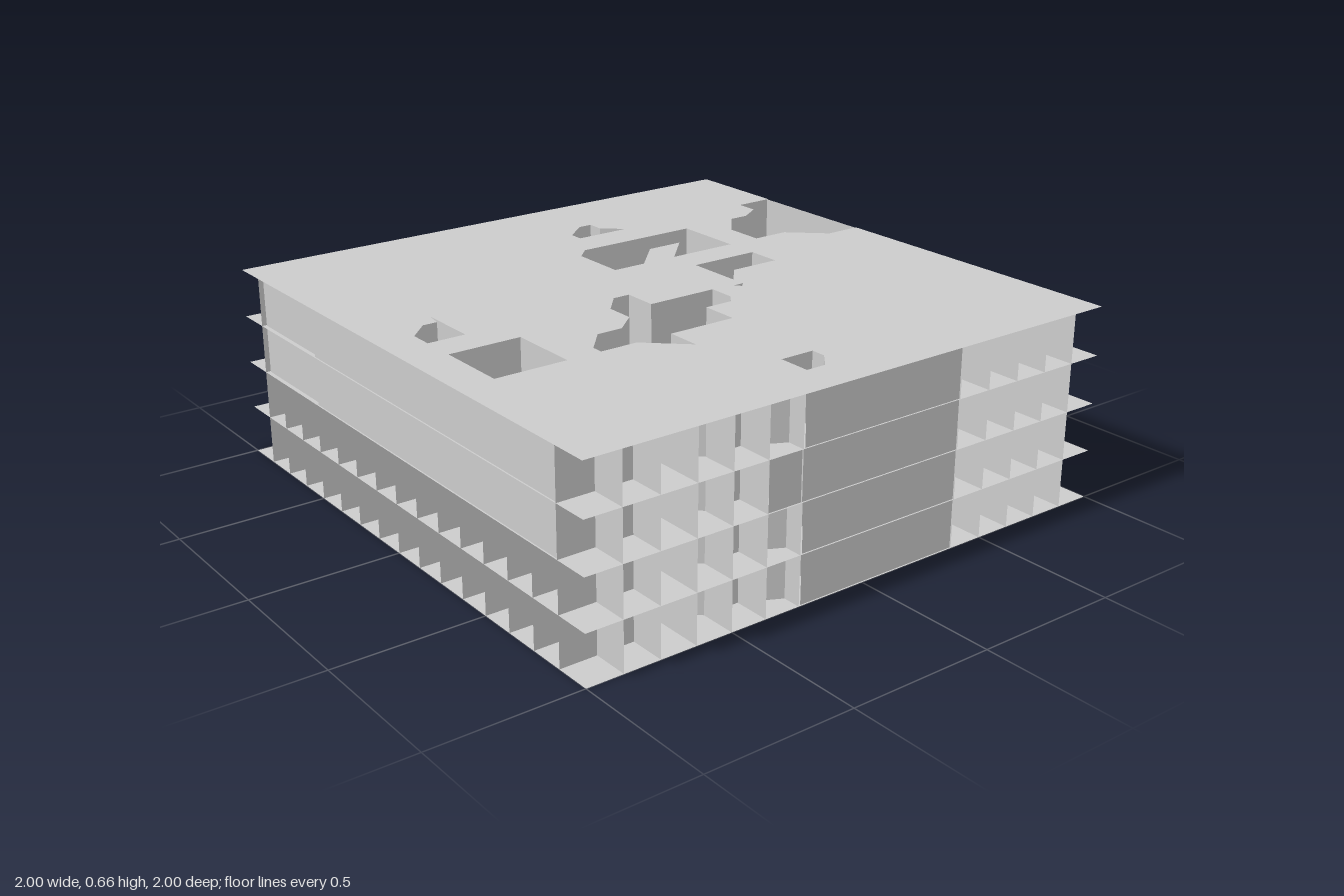
import * as THREE from 'three';
import { mergeGeometries } from 'three/addons/utils/BufferGeometryUtils.js';

const H = 0.165, TOP = 4 * H, CELL = 0.125;
const material = new THREE.MeshStandardMaterial({ color: 0xcccccc, side: THREE.DoubleSide, flatShading: true });

// Openings in the floor plates, as [x, z] outlines
const openings = [
  [[.12, -.62], [.12, -.67], [.2, -.74], [.25, -.74], [.25, -.68], [.32, -.62]],
  [[0, -.24], [0, -.44], [.05, -.49], [.5, -.49], [.5, -.24], [.25, -.24], [.37, -.365], [.24, -.365], [.12, -.24]],
  [[.25, -.12], [.5, -.12], [.5, 0], [.32, 0], [.25, .08]],
  [[-.74, -.2], [-.74, .01], [-.87, .01], [-.87, -.07], [-.8, -.14], [-.75, -.14]],
  [[-.87, .13], [-.62, .13], [-.62, .38], [-.87, .38]],
  [[-.12, 0], [-.12, .12], [.13, .12], [.13, .21], [.1, .25], [0, .25], [0, .38], [-.24, .38], [-.24, .5],
    [-.37, .38], [-.5, .38], [-.5, .34], [-.42, .25], [-.33, .25], [-.25, .18], [-.25, .08], [-.18, 0]],
  [[-.12, .75], [0, .75], [0, .8], [-.05, .86], [-.12, .86]],
  [[.21, .13], [.25, .13], [.23, .15]],
];
// Court cut into the right edge
const court = [[1, -.13], [.87, -.13], [.75, -.24], [.62, -.24], [.62, -.38], [.71, -.49], [.78, -.49],
  [.86, -.54], [.86, -.62], [1, -.62]];
const square = [[-1, -1], [-1, 1], [1, 1], [1, -1]];
const courtOutline = [[-1, -1], [-1, 1], [1, 1], ...court, [1, -1]];

const toVectors = (pts) => pts.map(([x, z]) => new THREE.Vector2(x, -z));

// Thin floor plate
function plate(y, outline, holes) {
  const shape = new THREE.Shape(toVectors(outline));
  shape.holes = holes.map((h) => new THREE.Path(toVectors(h)));
  return new THREE.ShapeGeometry(shape).rotateX(-Math.PI / 2).translate(0, y, 0);
}

// Thin upright wall between two plan points
function wall([x1, z1], [x2, z2], y0, y1) {
  const length = Math.hypot(x2 - x1, z2 - z1);
  return new THREE.PlaneGeometry(length, y1 - y0)
    .rotateY(-Math.atan2(z2 - z1, x2 - x1))
    .translate((x1 + x2) / 2, (y0 + y1) / 2, (z1 + z2) / 2);
}

function outlineWalls(pts, y0, y1, closed) {
  const n = closed ? pts.length : pts.length - 1;
  return Array.from({ length: n }, (_, i) => wall(pts[i], pts[(i + 1) % pts.length], y0, y1));
}

// Row of fins with a stepped wall behind; place(u, d) maps run and depth to plan
function bays(place, from, to, y0, y1, depths) {
  const list = [], count = Math.round((to - from) / CELL);
  const depth = (i) => depths[i % depths.length] * CELL;
  for (let i = 0; i <= count; i++) {
    const u = from + i * CELL;
    if (Math.abs(u) < 0.99) list.push(wall(place(u, 0), place(u, depth(i)), y0, y1));
    if (i < count) list.push(wall(place(u, depth(i)), place(u + CELL, depth(i + 1)), y0, y1));
  }
  return list;
}

const front = (u, d) => [u, 1 - d];
const back = (u, d) => [u, d - 1];
const right = (u, d) => [1 - d, u];
const left = (u, d) => [d - 1, u];

export function createModel() {
  const group = new THREE.Group();
  const add = (name, parts) => {
    const mesh = new THREE.Mesh(mergeGeometries(parts), material);
    mesh.name = name;
    group.add(mesh);
  };

  // Floors and roof; the middle floor is unbroken
  for (let i = 0; i < 5; i++) {
    add(i === 4 ? 'roof' : 'floor' + i, [i === 2 ? plate(i * H, square, []) : plate(i * H, courtOutline, openings)]);
  }

  // Shafts around the openings, above and below the middle floor
  add('shaftWalls', openings.flatMap((o) => outlineWalls(o, 0, TOP, true)));
  add('courtWalls', outlineWalls(court, 0, TOP, false));

  // Solid facade panels
  add('frontPanel', [
    wall([-.24, .995], [.375, .995], 0, TOP),
    wall([-.37, .995], [-.24, .995], 2 * H, 3 * H),
  ]);
  add('rightPanel', [wall([.995, .87], [.995, -.87], 2 * H, TOP)]);
  add('leftPanel', [
    wall([-.995, .87], [-.995, -.5], 2 * H, TOP),
    wall([-.985, -.5], [-.985, -.87], 2 * H, TOP),
  ]);

  // Open bays with fins
  add('frontLeftBays', bays(front, .375, 1, 0, TOP, [1, 1, 1, 1, 1, 1]));
  add('frontRightBays', bays(front, -1, -.25, 0, TOP, [1, 1, 1, 2, 1, 1, .5]));
  add('backBays', [
    ...bays(back, -1, 1, 0, 2 * H, [1, 1, 2, 1, 1, 1, 2, 2, 1]),
    ...bays(back, -1, 1, 2 * H, TOP, [1, 1, 1, 2, 1, 1, 1, 2]),
  ]);
  add('rightBays', [
    ...bays(right, -.125, 1, 0, 2 * H, [1, 1, 2, 1, 1, 1, 1, 2, 1, 1]),
    ...bays(right, -1, -.625, 0, 2 * H, [1, 1, 2, 1]),
  ]);
  add('leftBays', bays(left, -1, 1, 0, 2 * H, [1, 1, 2, 1, 1, 1, 2, 1]));
  return group;
}
